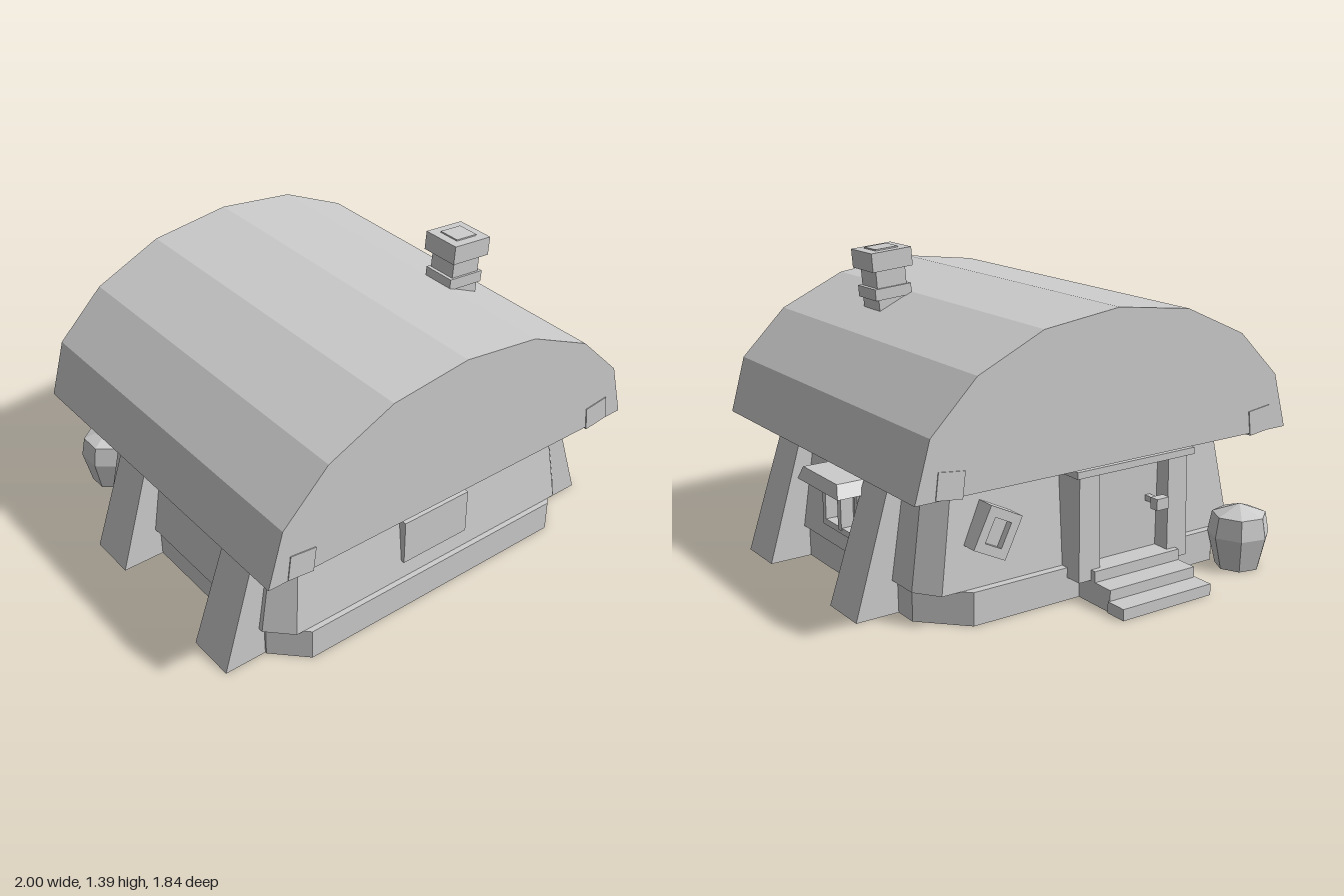
import * as THREE from 'three';

// Double sided, because buttresses, steps and barrel are open underneath
const stone = new THREE.MeshStandardMaterial({ color: 0xcccccc, side: THREE.DoubleSide });
stone.name = 'plainGrey';

// Solid between two convex rings of [x, z] points, flat faced
function loft(bottom, y0, top, y1, openBottom = false) {
  const p = [], n = bottom.length;
  const b = (i) => [bottom[i % n][0], y0, bottom[i % n][1]];
  const t = (i) => [top[i % n][0], y1, top[i % n][1]];
  for (let i = 0; i < n; i++) {
    p.push(...b(i), ...b(i + 1), ...t(i + 1), ...b(i), ...t(i + 1), ...t(i));
    if (i === 0 || i === n - 1) continue;
    p.push(...t(0), ...t(i), ...t(i + 1));
    if (!openBottom) p.push(...b(0), ...b(i + 1), ...b(i));
  }
  const g = new THREE.BufferGeometry();
  g.setAttribute('position', new THREE.Float32BufferAttribute(p, 3));
  g.computeVertexNormals();
  return g;
}

const rect = (x0, x1, z0, z1) => [[x0, z1], [x1, z1], [x1, z0], [x0, z0]];

// Rectangle with cut corners: half widths a (front), xm (middle), aBack (back)
const plan = (a, xm, front, frontSide, back, backSide, aBack) => [
  [-a, front], [a, front], [xm, frontSide], [xm, backSide],
  [aBack, back], [-aBack, back], [-xm, backSide], [-xm, frontSide],
];

// Rectangular frame with an opening, facing +z
function frameGeometry(w, h, border, depth) {
  const s = new THREE.Shape();
  s.moveTo(-w / 2, -h / 2).lineTo(w / 2, -h / 2).lineTo(w / 2, h / 2).lineTo(-w / 2, h / 2).closePath();
  const a = w / 2 - border, b = h / 2 - border, hole = new THREE.Path();
  hole.moveTo(-a, -b).lineTo(-a, b).lineTo(a, b).lineTo(a, -b).closePath();
  s.holes.push(hole);
  return new THREE.ExtrudeGeometry(s, { depth, bevelEnabled: false });
}

export function createModel() {
  const model = new THREE.Group();
  model.name = 'cottage';

  const add = (name, geometry, parent = model) => {
    const m = new THREE.Mesh(geometry, stone);
    m.name = name;
    parent.add(m);
    return m;
  };
  const box = (name, x0, x1, y0, y1, z0, z1, parent = model) => {
    const m = add(name, new THREE.BoxGeometry(x1 - x0, y1 - y0, z1 - z0), parent);
    m.position.set((x0 + x1) / 2, (y0 + y1) / 2, (z0 + z1) / 2);
    return m;
  };
  const group = (name, x, y, z) => {
    const g = new THREE.Group();
    g.name = name;
    g.position.set(x, y, z);
    model.add(g);
    return g;
  };

  // Foundation and sloping walls
  const base = plan(0.67, 0.805, 0.815, 0.68, -0.62, -0.44, 0.63);
  add('foundation', loft(base, 0, base, 0.143));
  add('walls', loft(
    plan(0.73, 0.83, 0.79, 0.69, -0.585, -0.48, 0.755), 0.143,
    plan(0.68, 0.75, 0.74, 0.67, -0.543, -0.445, 0.68), 0.6));

  // Faceted barrel roof
  const half = [[0.95, 0.591], [0.88, 0.838], [0.67, 1.045], [0.365, 1.184]];
  const outline = [...half, [0, 1.23], ...half.map(([x, y]) => [-x, y]).reverse()];
  const roof = add('roof', new THREE.ExtrudeGeometry(
    new THREE.Shape(outline.map(([x, y]) => new THREE.Vector2(x, y))),
    { depth: 1.635, bevelEnabled: false }));
  roof.position.z = -0.72;

  // Eave beams and leaning, open-footed buttresses on both sides
  for (const s of [-1, 1]) {
    const beam = box('eaveBeam', -0.06, 0.06, -0.055, 0.055, -0.724, 0.919);
    beam.position.x = s * 0.795;
    beam.position.y = 0.643;
    beam.rotation.z = s * 0.12;
    for (const z of [0.562, -0.22]) {
      const ring = (xIn, xOut, w) => (s > 0
        ? rect(xIn, xOut, z - w, z + w) : rect(-xOut, -xIn, z - w, z + w));
      add('buttress', loft(ring(0.77, 1, 0.111), 0, ring(0.6, 0.81, 0.092), 0.6, true));
    }
  }

  // Crooked chimney
  const chimney = group('chimney', 0.447, 1.092, 0.338);
  chimney.rotation.z = -0.08;
  const block = (name, w, d, y0, y1) => box(name, -w / 2, w / 2, y0, y1, -d / 2, d / 2, chimney);
  block('chimneyStem', 0.145, 0.14, -0.1, 0.075);
  block('chimneyBand', 0.178, 0.152, 0.075, 0.125);
  block('chimneyNeck', 0.145, 0.133, 0.12, 0.205);
  block('chimneyCap', 0.196, 0.18, 0.203, 0.285);
  block('chimneyFlue', 0.11, 0.1, 0.285, 0.291);

  // Front shutter board
  box('frontShutter', -0.175, 0.172, 0.23, 0.44, 0.74, 0.798);

  // Side window with awning
  const side = group('sideWindow', 0.78, 0.35, 0.04);
  side.rotation.y = Math.PI / 2;
  add('windowFrame', frameGeometry(0.31, 0.22, 0.027, 0.085), side);
  box('mullion', -0.015, 0.015, -0.095, 0.095, 0, 0.088, side);
  box('windowPane', -0.14, 0.14, -0.1, 0.1, 0, 0.03, side);
  add('awning', loft(
    rect(0.74, 0.966, -0.14, 0.22), 0.455,
    rect(0.72, 0.952, -0.11, 0.19), 0.512));

  // Back door with posts, lintel and handle
  for (const x of [-0.355, 0.115]) {
    add('doorPost', loft(
      rect(x - 0.055, x + 0.055, -0.7, -0.52), 0.1,
      rect(x - 0.05, x + 0.05, -0.69, -0.5), 0.56));
  }
  box('doorLintel', -0.43, 0.19, 0.55, 0.58, -0.71, -0.5);
  box('door', -0.31, 0.07, 0.143, 0.555, -0.62, -0.5);
  box('handleStem', -0.265, -0.24, 0.355, 0.38, -0.69, -0.61);
  box('handle', -0.285, -0.22, 0.34, 0.39, -0.722, -0.68);

  // Open-bottomed steps
  const step = (name, x0, x1, height, z0, z1) => {
    const ring = rect(x0, x1, z0, z1);
    add(name, loft(ring, 0, ring, height, true));
  };
  step('lowerStep', -0.353, 0.115, 0.05, -0.92, -0.82);
  step('middleStep', -0.345, 0.107, 0.097, -0.825, -0.72);
  step('upperStep', -0.345, 0.107, 0.145, -0.725, -0.6);

  // Tilted back window
  const back = group('backWindow', 0.525, 0.375, -0.52);
  back.rotation.set(0, Math.PI, -0.46);
  add('windowFrame', frameGeometry(0.165, 0.19, 0.04, 0.12), back);
  box('windowPane', -0.06, 0.06, -0.075, 0.075, 0, 0.09, back);

  // Seven-sided barrel with a pointed lid, open underneath
  const profile = [[0.1, 0], [0.137, 0.15], [0.12, 0.24], [0, 0.285]]
    .map(([r, y]) => new THREE.Vector2(r, y));
  const barrelGeometry = new THREE.LatheGeometry(profile, 7, Math.PI / 2).toNonIndexed();
  barrelGeometry.computeVertexNormals();
  add('barrel', barrelGeometry).position.set(-0.69, 0, -0.73);

  return model;
}
